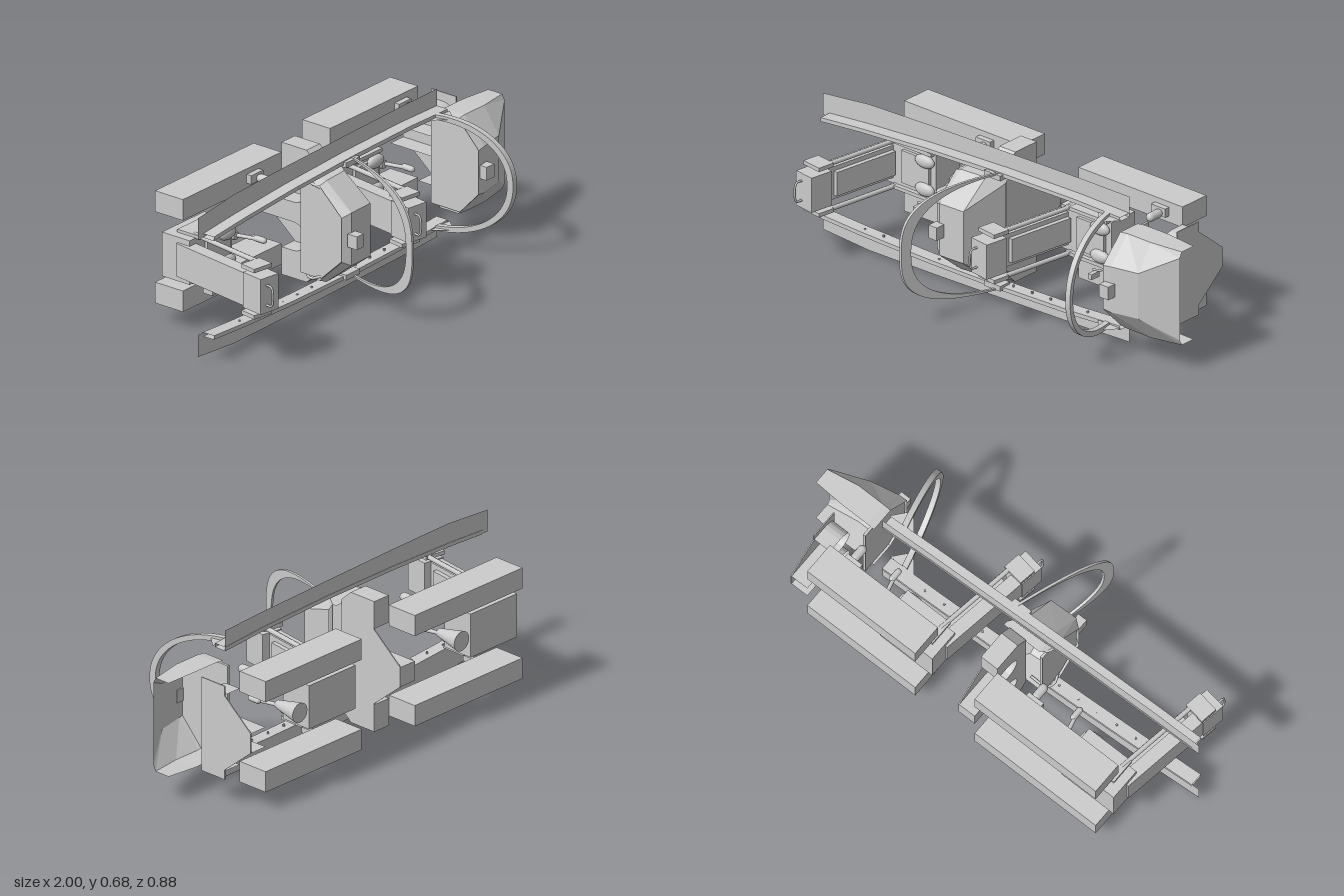
import * as THREE from 'three';

const mat = new THREE.MeshStandardMaterial({ color: 0xcccccc, flatShading: true, side: THREE.DoubleSide });
const smooth = new THREE.MeshStandardMaterial({ color: 0xcccccc, side: THREE.DoubleSide });

function add(parent, name, geo, x = 0, y = 0, z = 0, m = mat) {
  const mesh = new THREE.Mesh(geo, m);
  mesh.name = name;
  mesh.position.set(x, y, z);
  parent.add(mesh);
  return mesh;
}

// box given by its min/max on each axis
function box(parent, name, x0, x1, y0, y1, z0, z1) {
  return add(parent, name, new THREE.BoxGeometry(x1 - x0, y1 - y0, z1 - z0),
    (x0 + x1) / 2, (y0 + y1) / 2, (z0 + z1) / 2);
}

function tube(parent, name, pts, r, seg = 12) {
  const curve = new THREE.CatmullRomCurve3(pts.map(p => new THREE.Vector3(...p)));
  return add(parent, name, new THREE.TubeGeometry(curve, seg, r, 8), 0, 0, 0, smooth);
}

// skin over a list of equal-length cross-sections
function loft(sections, closed = false) {
  const n = sections[0].length, idx = [];
  for (let i = 0; i < sections.length - 1; i++) {
    for (let j = 0; j < (closed ? n : n - 1); j++) {
      const a = i * n + j, b = i * n + (j + 1) % n;
      idx.push(a, b, a + n, b, b + n, a + n);
    }
  }
  const g = new THREE.BufferGeometry();
  g.setAttribute('position', new THREE.Float32BufferAttribute(sections.flat(2), 3));
  g.setIndex(idx);
  g.computeVertexNormals();
  return g;
}

// outline in (y, z), mirrored about y = 0 and extruded along x
function extrudeX(half, x0, depth) {
  const pts = [...half, ...half.map(([y, z]) => [-y, z]).reverse()].map(p => new THREE.Vector2(...p));
  const g = new THREE.ExtrudeGeometry(new THREE.Shape(pts), { depth, bevelEnabled: false });
  g.applyMatrix4(new THREE.Matrix4().makeBasis(
    new THREE.Vector3(0, 1, 0), new THREE.Vector3(0, 0, 1), new THREE.Vector3(1, 0, 0)));
  return g.translate(x0, 0, 0);
}

// long sill on one side: outer plate plus inner rail
function sill(parent, s) {
  const rows = [[-1, .315, .215], [-.75, .338, .23], [-.4, .342, .246], [0, .342, .254], [.4, .341, .252], [.65, .336, .242]];
  const zc = x => -.038 * (x + 1);
  add(parent, 'sillPlate', loft(rows.map(([x, o, i]) => [[x, s * o, zc(x) - .028], [x, s * i, zc(x) - .028]])));
  add(parent, 'sillRail', loft(rows.map(([x0, , i]) => {
    const x = Math.max(x0, -.965), z = zc(x);
    return [[x, s * i, z - .03], [x, s * (i + .018), z - .03], [x, s * (i + .018), z + .03], [x, s * i, z + .03]];
  }), true));
  for (let k = 0; k < 14; k++) {
    const x = -.85 + k * .1;
    add(parent, 'railFastener', new THREE.CylinderGeometry(.005, .005, .01, 6), x, s * (x < -.5 ? .23 : .248), zc(x));
  }
}

// canopy arch leaning along x; each edge is half width, top height, roundness
function arch(parent, name, outer, inner, xAt, t, n = 48) {
  const sections = [];
  const edge = ([w, top, q], a) => {
    const c = Math.cos(a), s = Math.max(Math.sin(a), 0);
    return [w * Math.sign(c) * Math.abs(c) ** q, -.03 + (top + .03) * s ** q];
  };
  for (let k = 0; k <= n; k++) {
    const [y1, z1] = edge(outer, Math.PI * k / n), [y2, z2] = edge(inner, Math.PI * k / n);
    sections.push([[xAt(z1) - t, y1, z1], [xAt(z1) + t, y1, z1], [xAt(z2) + t, y2, z2], [xAt(z2) - t, y2, z2]]);
  }
  add(parent, name, loft(sections, true));
}

// arc over one leg tunnel, from the outer to the inner wall
const tunnelArc = Array.from({ length: 11 }, (_, k) => {
  const a = Math.PI * k / 10;
  return [.11 + .065 * Math.cos(a), -.225 + .065 * Math.sin(a)];
});

// ejection seat, stick and throttle
function station(parent, dx) {
  const g = new THREE.Group();
  g.name = 'crewStation';
  g.position.x = dx;
  parent.add(g);
  box(g, 'seatPan', -.82, -.54, -.1, .1, -.37, -.22);
  box(g, 'seatCushion', -.72, -.57, -.075, .075, -.22, -.205);

  const back = new THREE.Group();
  back.name = 'seatBack';
  back.position.set(-.80, 0, -.28);
  back.rotation.y = -.15;
  g.add(back);
  box(back, 'seatColumn', -.03, .03, -.075, .075, 0, .46);
  box(back, 'backCushion', .03, .05, -.055, .055, .06, .38);
  box(back, 'headBox', -.035, .065, -.08, .08, .42, .53);
  tube(back, 'headHandle', [[0, -.045, .53], [0, -.042, .56], [0, .042, .56], [0, .045, .53]], .005);
  for (const s of [-1, 1]) {
    tube(back, 'sideRail', [[.045, s * .105, .03], [.045, s * .105, .42]], .011, 2);
    box(back, 'sideBracket', -.035, .065, s * .105 - .009, s * .105 + .009, .41, .49);
    box(g, 'seatSide', -.78, -.55, s * .105 - .008, s * .105 + .008, -.32, -.2);
    add(g, 'thighPad', new THREE.SphereGeometry(1, 16, 10), -.59, s * .065, -.205, smooth).scale.set(.052, .03, .022);
  }
  tube(g, 'hose', [[-.57, -.1, -.24], [-.6, -.14, -.23], [-.66, -.16, -.24]], .005);
  box(g, 'hoseFitting', -.67, -.65, -.2, -.175, -.27, -.22);

  add(g, 'stickBoot', new THREE.CylinderGeometry(.018, .045, .13, 20).rotateX(Math.PI / 2), -.475, 0, -.315, smooth);
  tube(g, 'controlStick', [[-.475, 0, -.28], [-.455, 0, -.2], [-.445, 0, -.16]], .009);
  add(g, 'stickGrip', new THREE.CapsuleGeometry(.014, .04, 4, 10).rotateX(Math.PI / 2), -.442, 0, -.15, smooth);
  box(g, 'throttleBase', -.36, -.28, .19, .23, -.29, -.265);
  add(g, 'throttleGrip', new THREE.CapsuleGeometry(.02, .045, 4, 10).rotateX(Math.PI / 2), -.31, .205, -.23, smooth);
}

// hood shell; each row is x, half widths low and high, heights low, shoulder and top
function hood(parent, name, rows) {
  add(parent, name, loft(rows.map(([x, w, wt, z0, z1, z2]) =>
    [[x, -w, z0], [x, -w, z1], [x, -wt, z2], [x, wt, z2], [x, w, z1], [x, w, z0]])));
}

export function createModel() {
  const root = new THREE.Group();
  root.name = 'cockpit';
  const g = new THREE.Group();
  g.name = 'cockpitParts';
  g.position.y = .34;
  root.add(g);

  for (const s of [-1, 1]) {
    sill(g, s);
    // side consoles
    const y0 = s > 0 ? .16 : -.255;
    box(g, 'rearConsole', -.78, -.13, y0, y0 + .095, -.44, -.29);
    box(g, 'frontConsole', .19, .77, y0, y0 + .095, -.44, -.29);
    // arch feet and hood grips
    box(g, 'rearArchFoot', -.07, .02, s * .255 - .012, s * .255 + .012, -.05, .01);
    add(g, 'frontArchGusset', loft([[[.53, s * .25, -.03], [.66, s * .25, -.03]], [[.58, s * .25, .03], [.61, s * .25, .03]]]));
    tube(g, 'hoodGrip', [[-.14, s * .215, -.08], [-.22, s * .215, -.075], [-.235, s * .215, -.04], [-.22, s * .2, 0]], .006);
    // forward leg tunnel as an open sheet
    add(g, 'frontLegTunnel', loft([.77, .86].map(x =>
      [[.175, -.29], ...tunnelArc, [.045, -.44]].map(([y, z]) => [x, s * y, z]))));
  }

  // canopy arches
  arch(g, 'rearArch', [.27, .44, .667], [.262, .395, .8], z => -.15 * (z + .03) / .45, .006);
  arch(g, 'frontArch', [.263, .317, .93], [.24, .29, .93], z => .58 + .085 * (z + .03) / .34, .013);

  // crew stations
  station(g, 0);
  station(g, .975);

  // rear panel with two leg tunnels closed by a thin forward plate
  const top = [[.25, -.10], [.30, -.155], [.30, -.29]];
  add(g, 'rearPanel', extrudeX([...top, [.175, -.29], ...tunnelArc, [.045, -.44]], -.13, .085));
  add(g, 'rearTunnelPlate', extrudeX([...top, [.17, -.29], [.045, -.44]], -.047, .005));
  // narrower front panel
  add(g, 'frontTunnelPlate', extrudeX([[.215, -.155], [.215, -.29], [.17, -.29], [.045, -.44]], .855, .005));

  // hoods with their instrument faces
  hood(g, 'rearHood', [[-.235, .215, .1, -.06, 0, .12], [-.2, .23, .12, -.1, .01, .145], [-.07, .23, .12, -.1, 0, .14], [-.01, .23, .2, -.1, -.08, -.06]]);
  add(g, 'rearInstrumentFace', extrudeX([[.1, .115], [.21, 0], [.21, -.11]], -.225, .012));
  hood(g, 'frontHood', [[.68, .215, .1, -.11, 0, .11], [.72, .22, .105, -.11, 0, .107], [.85, .22, .105, -.11, 0, .08], [1, .215, .19, -.1, -.025, -.012]]);
  add(g, 'frontInstrumentFace', extrudeX([[.1, .105], [.212, 0], [.212, -.155]], .69, .012));
  box(g, 'rearSight', -.22, -.175, -.03, .03, .14, .19);
  box(g, 'frontSight', .69, .74, -.03, .03, .1, .145);
  return root;
}
